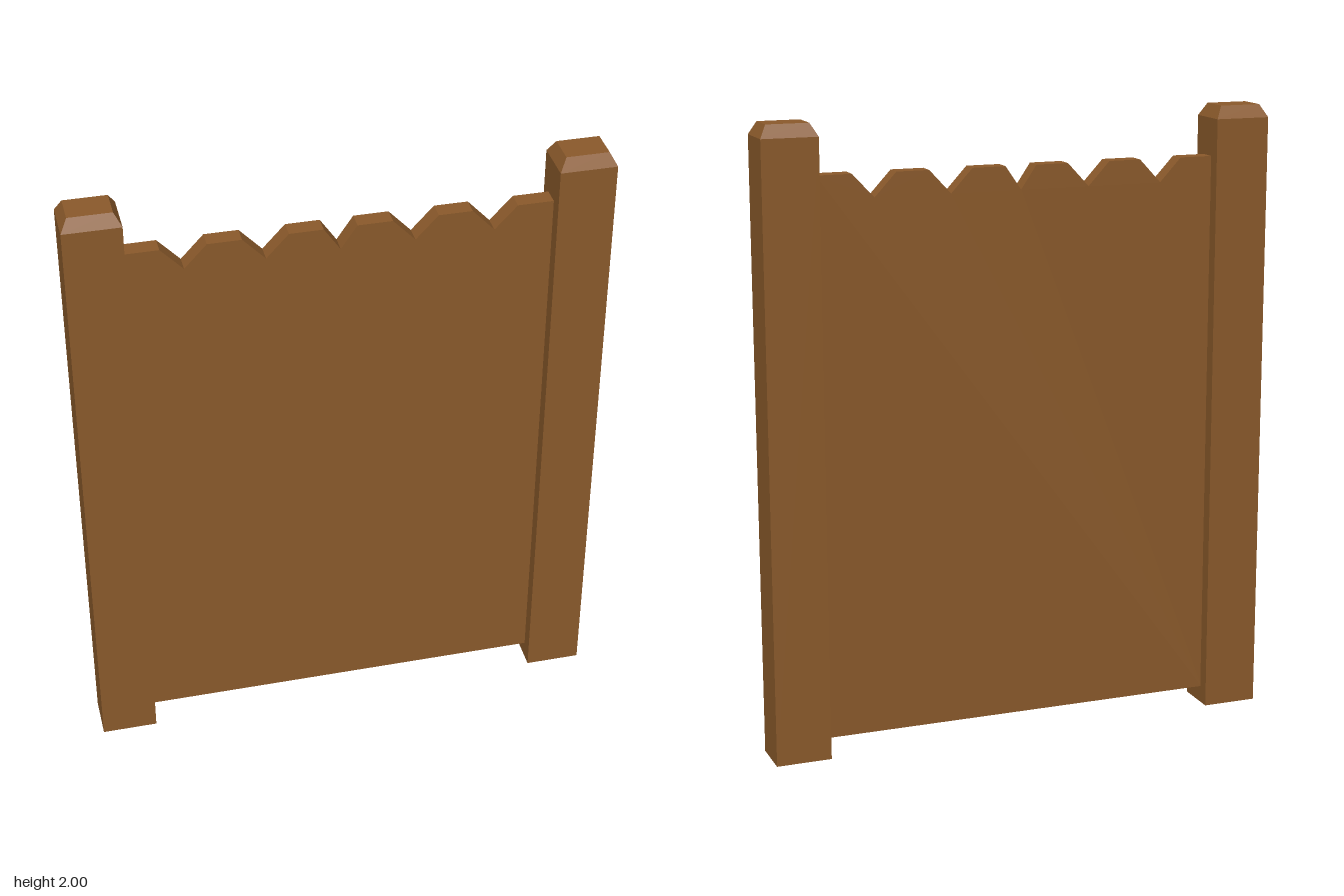
import * as THREE from 'three';

const wood = new THREE.MeshStandardMaterial({ color: 0x8b5a2b });
wood.name = 'brown wood';

// Square post whose top edges are chamfered
function postGeometry(width, height, depth, chamferHeight, inset) {
  const box = new THREE.BoxGeometry(width, height, depth, 1, 2, 1);
  const p = box.attributes.position;
  for (let i = 0; i < p.count; i++) {
    const y = p.getY(i) + height / 2;
    const top = y > height * 0.75;
    const middle = !top && y > height * 0.25;
    p.setY(i, middle ? height - chamferHeight : y);
    if (top) {
      p.setX(i, p.getX(i) - Math.sign(p.getX(i)) * inset);
      p.setZ(i, p.getZ(i) - Math.sign(p.getZ(i)) * inset);
    }
  }
  const geometry = box.toNonIndexed();
  geometry.computeVertexNormals();
  return geometry;
}

// Board panel with V notches cut into its top edge
function panelGeometry() {
  const left = -0.655, right = 0.652, bottom = 0.055, top = 1.84, valley = 1.765;
  const notches = [ // centre and half width
    [0.47, 0.07], [0.225, 0.07], [-0.004, 0.051], [-0.23, 0.07], [-0.475, 0.07],
  ];
  const shape = new THREE.Shape();
  shape.moveTo(left, bottom);
  shape.lineTo(right, bottom);
  shape.lineTo(right, top);
  for (const [x, half] of notches) {
    shape.lineTo(x + half, top);
    shape.lineTo(x, valley);
    shape.lineTo(x - half, top);
  }
  shape.lineTo(left, top);
  shape.closePath();
  const depth = 0.056;
  const geometry = new THREE.ExtrudeGeometry(shape, { depth, bevelEnabled: false });
  geometry.translate(0, 0, -depth / 2 - 0.002);
  return geometry;
}

export function createModel() {
  const model = new THREE.Group();
  model.name = 'woodenFence';

  const geometry = postGeometry(0.178, 2, 0.142, 0.04, 0.022);
  for (const side of [-1, 1]) {
    const post = new THREE.Mesh(geometry, wood);
    post.name = side > 0 ? 'leftPost' : 'rightPost';
    post.position.x = side * 0.741;
    model.add(post);
  }

  const panel = new THREE.Mesh(panelGeometry(), wood);
  panel.name = 'notchedPanel';
  model.add(panel);
  return model;
}
